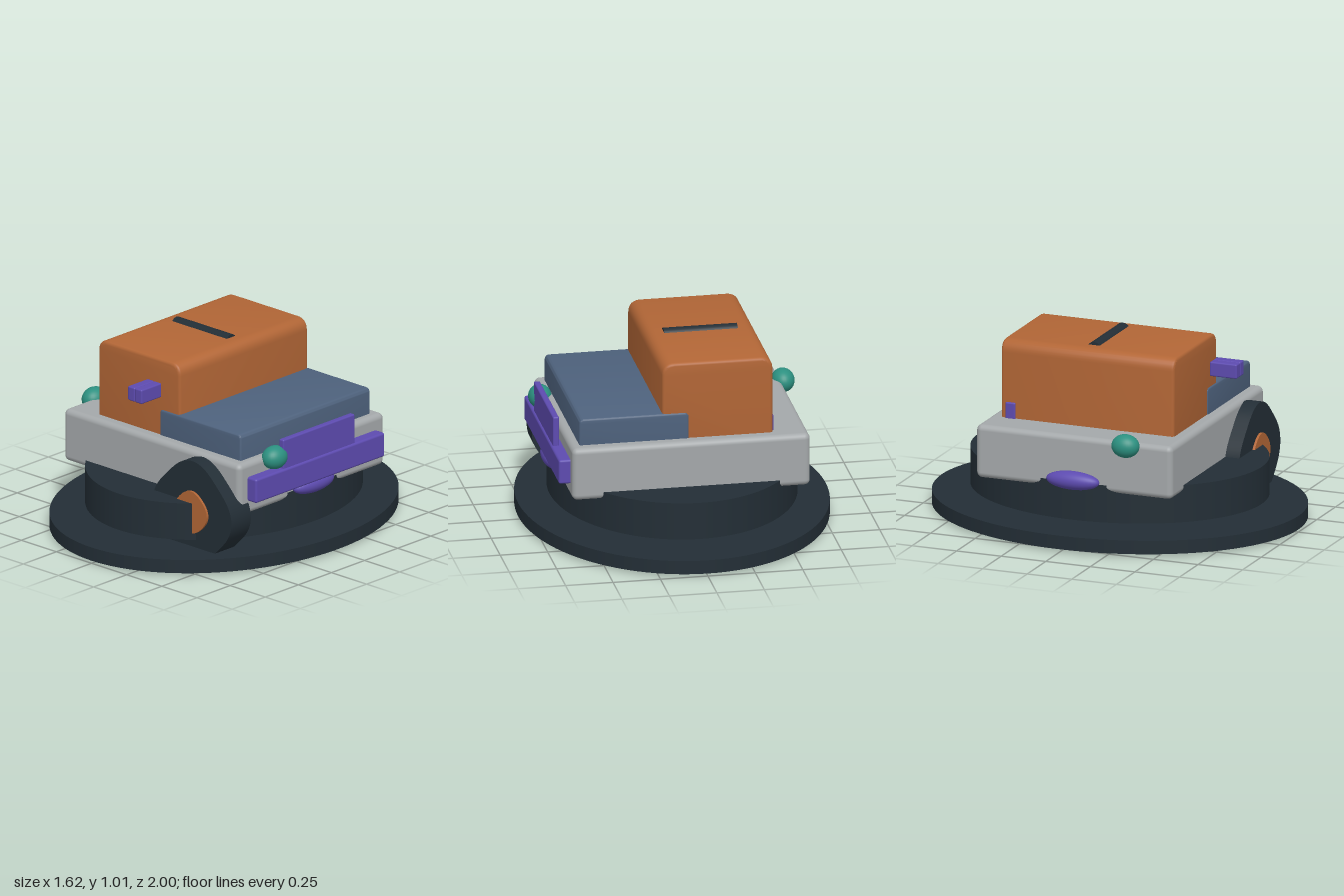
import * as THREE from 'three';
import { RoundedBoxGeometry } from 'three/addons/geometries/RoundedBoxGeometry.js';
import { toCreasedNormals } from 'three/addons/utils/BufferGeometryUtils.js';

const material = (name, color) => {
  const m = new THREE.MeshStandardMaterial({ color });
  m.name = name;
  return m;
};

export function createModel() {
  const dark = material('charcoal', 0x232e36);
  const grey = material('grey', 0xa4a8aa);
  const orange = material('orange', 0xb26636);
  const blue = material('slate blue', 0x4e627d);
  const purple = material('purple', 0x5d4bb0);
  const teal = material('teal', 0x2c9080);

  const model = new THREE.Group();
  model.name = 'vehicle';

  const add = (name, geometry, mat, x = 0, y = 0, z = 0) => {
    const mesh = new THREE.Mesh(geometry, mat);
    mesh.name = name;
    mesh.position.set(x, y, z);
    model.add(mesh);
    return mesh;
  };

  // Box given by its limits on each axis, with softened edges
  const block = (name, mat, [x0, x1], [y0, y1], [z0, z1], radius) =>
    add(name, new RoundedBoxGeometry(x1 - x0, y1 - y0, z1 - z0, 3, radius), mat,
      (x0 + x1) / 2, (y0 + y1) / 2, (z0 + z1) / 2);

  // Upright elliptical disc
  const disc = (name, rx, rz, y0, y1) => {
    const g = new THREE.CylinderGeometry(1, 1, y1 - y0, 96);
    g.scale(rx, 1, rz);
    add(name, g, dark, 0, (y0 + y1) / 2, 0);
  };

  const ellipsoid = (name, mat, rx, ry, rz, x, y, z) => {
    const g = new THREE.SphereGeometry(1, 32, 20);
    g.scale(rx, ry, rz);
    add(name, g, mat, x, y, z);
  };

  // Profile in x and y with rounded top corners, extruded along z
  const roundedTop = (name, mat, [x0, x1], [y0, y1], depth, r, bevel) => {
    const b = bevel;
    const s = new THREE.Shape();
    s.moveTo(x0 + b, y0);
    s.lineTo(x1 - b, y0);
    s.lineTo(x1 - b, y1 - r);
    s.quadraticCurveTo(x1 - b, y1 - b, x1 - r, y1 - b);
    s.lineTo(x0 + r, y1 - b);
    s.quadraticCurveTo(x0 + b, y1 - b, x0 + b, y1 - r);
    s.closePath();
    const g = new THREE.ExtrudeGeometry(s, {
      depth: depth - 2 * b, bevelSize: b, bevelThickness: b, bevelSegments: 3, curveSegments: 8,
    });
    g.translate(0, 0, -depth / 2 + b);
    add(name, toCreasedNormals(g, 0.6), mat);
  };

  // Four-lobed disc facing the front
  const lobed = (name, mat, radius, wave, z0, z1) => {
    const points = [];
    for (let i = 0; i < 72; i++) {
      const a = (i / 72) * Math.PI * 2;
      const r = radius + wave * Math.cos(4 * a);
      points.push(new THREE.Vector2(r * Math.cos(a), r * Math.sin(a)));
    }
    const g = new THREE.ExtrudeGeometry(new THREE.Shape(points), { depth: z1 - z0, bevelEnabled: false });
    add(name, toCreasedNormals(g, 0.6), mat, 0.368, 0.28, z0);
  };

  // Base and turntable
  disc('baseDisc', 0.81, 1, 0.015, 0.088);
  disc('turntable', 0.645, 0.795, 0.13, 0.33);

  // Body, cabin and hood
  block('body', grey, [-0.627, 0.627], [0.29, 0.575], [-0.55, 0.55], 0.03);
  roundedTop('cabin', orange, [-0.44, 0.142], [0.5, 0.99], 0.97, 0.065, 0.016);
  roundedTop('hood', blue, [0.003, 0.58], [0.5, 0.716], 0.98, 0.026, 0.01);

  // Roof bar lying across the cabin
  const bar = new THREE.CylinderGeometry(0.04, 0.04, 0.388, 24);
  bar.rotateZ(Math.PI / 2);
  add('roofBar', bar, dark, -0.147, 0.966, -0.003);

  // Single front wheel
  lobed('wheel', dark, 0.264, 0.015, 0.483, 0.63);
  lobed('wheelHub', orange, 0.111, 0.004, 0.6, 0.643);

  // Bumper and plate on the left side
  block('bumper', purple, [0.6, 0.688], [0.365, 0.497], [-0.487, 0.487], 0.012);
  block('bumperPlate', purple, [0.645, 0.678], [0.48, 0.655], [-0.27, 0.27], 0.008);

  // Lamps and low side pods, mirrored
  for (const side of [-1, 1]) {
    ellipsoid('lamp', teal, 0.061, 0.062, 0.075, side * 0.64, 0.56, 0.297);
    ellipsoid('sidePod', purple, 0.052, 0.049, 0.148, side * 0.636, 0.34, 0);
  }

  // Paired blocks ahead of the cabin
  block('frontBlock', purple, [-0.05, 0], [0.802, 0.88], [0.523, 0.675], 0.008);
  block('frontBlock', purple, [0, 0.05], [0.802, 0.88], [0.523, 0.675], 0.008);

  // Small latch at the rear corner of the cabin
  block('rearLatch', purple, [-0.45, -0.4], [0.56, 0.66], [-0.457, -0.402], 0.008);

  return model;
}
